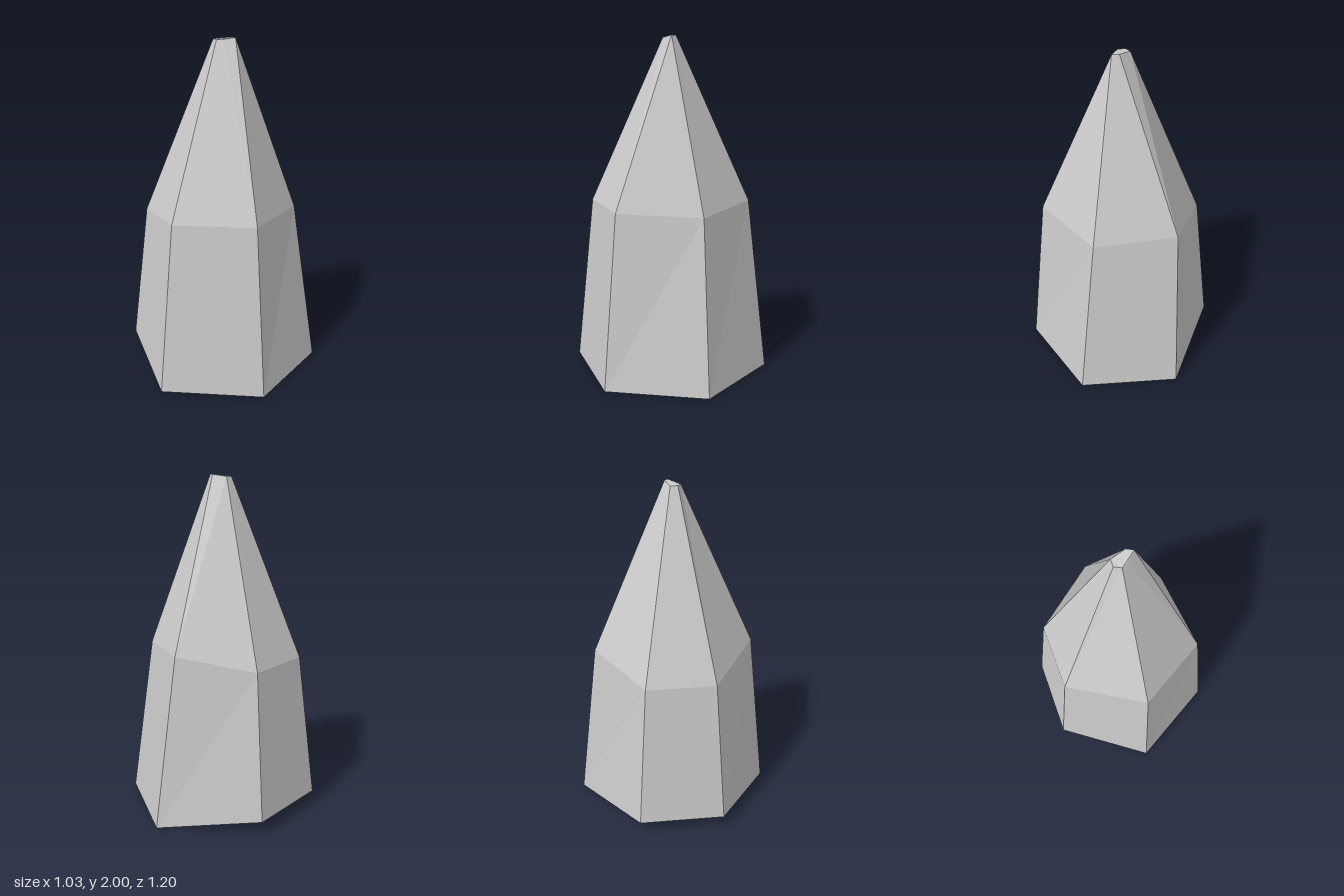
import * as THREE from 'three';

// Cross-sections of the shard, counter-clockwise from the front corner
const base = [[-0.01, 0, 0.595], [0.515, 0, 0.295], [0.515, 0, -0.305], [0, 0, -0.6], [-0.515, 0.085, -0.257], [-0.515, 0.085, 0.25]];
const shoulder = [[0.005, 1.02, 0.48], [0.415, 1.02, 0.24], [0.37, 1.0, -0.25], [-0.055, 1.03, -0.475], [-0.425, 0.95, -0.205], [-0.42, 0.95, 0.2]];
const tip = [[0, 1.99, 0.04], [0.034, 1.99, 0.02], [0.084, 2, -0.025], [0.048, 2, -0.045], [-0.038, 1.99, -0.022], [-0.038, 1.99, 0.02]];

// Joins the rings with side facets and closes both ends
function loft(rings) {
  const positions = [];
  const tri = (a, b, c) => positions.push(...a, ...b, ...c);
  const n = rings[0].length;
  for (let r = 0; r < rings.length - 1; r++) {
    const low = rings[r], high = rings[r + 1];
    for (let i = 0; i < n; i++) {
      const j = (i + 1) % n;
      tri(low[i], low[j], high[j]);
      tri(low[i], high[j], high[i]);
    }
  }
  const bottom = rings[0], top = rings[rings.length - 1];
  for (let i = 1; i < n - 1; i++) {
    tri(bottom[0], bottom[i + 1], bottom[i]);
    tri(top[0], top[i], top[i + 1]);
  }
  const geometry = new THREE.BufferGeometry();
  geometry.setAttribute('position', new THREE.Float32BufferAttribute(positions, 3));
  geometry.computeVertexNormals();
  return geometry;
}

export function createModel() {
  const group = new THREE.Group();
  group.name = 'crystal';

  // Faceted six-sided shard
  const material = new THREE.MeshStandardMaterial({ color: 0xcccccc, flatShading: true });
  const shard = new THREE.Mesh(loft([base, shoulder, tip]), material);
  shard.name = 'crystalShard';
  group.add(shard);

  return group;
}
